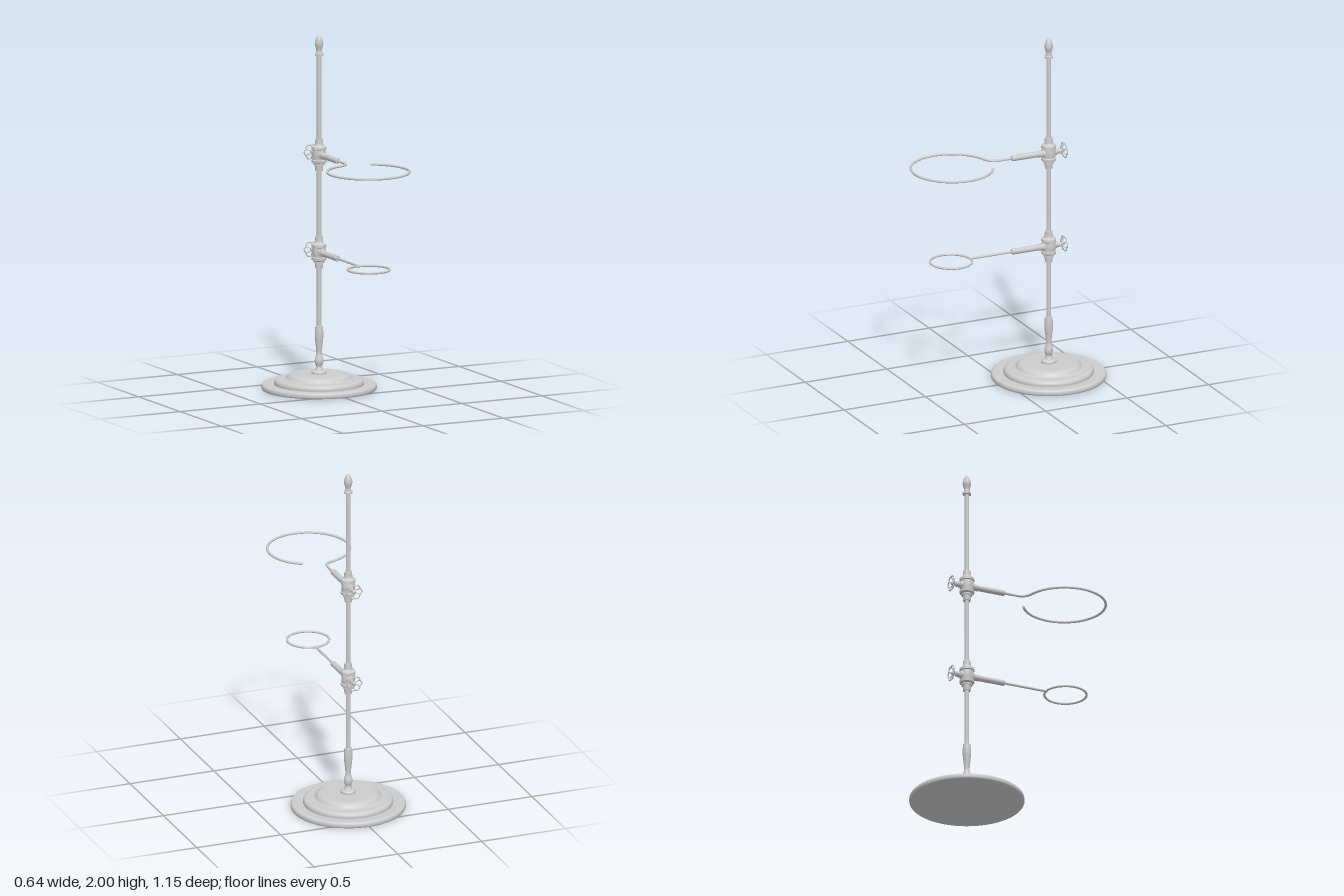
import * as THREE from 'three';

const POLE_Z = -0.257;
const material = new THREE.MeshStandardMaterial({ color: 0xcccccc, side: THREE.DoubleSide });

function addMesh(parent, name, geometry) {
  const mesh = new THREE.Mesh(geometry, material);
  mesh.name = name;
  parent.add(mesh);
  return mesh;
}

// Lathe made of separate runs, so that the edges between runs stay sharp
function turned(parent, name, runs, segments = 32) {
  const group = new THREE.Group();
  group.name = name;
  parent.add(group);
  for (const run of runs) {
    const pts = run.map(([r, y]) => new THREE.Vector2(r, y));
    addMesh(group, name + 'Section', new THREE.LatheGeometry(pts, segments));
  }
  return group;
}

// Straight runs between successive points, each with crisp edges
const crisp = (pts) => pts.slice(1).map((p, i) => [pts[i], p]);

// Smooth turned profile through a few points
function smooth(pts, n = 20) {
  const curve = new THREE.CatmullRomCurve3(pts.map(([r, y]) => new THREE.Vector3(r, y, 0)));
  return curve.getPoints(n).map((p) => [Math.max(p.x, 0), p.y]);
}

// Scalloped handwheel facing -z, with its centre at the origin
function handwheel() {
  const wheel = new THREE.Group();
  wheel.name = 'handwheel';
  const lobes = 6;
  const rimPoints = [];
  for (let i = 0; i < 72; i++) {
    const a = (i / 72) * Math.PI * 2;
    const r = 0.036 + 0.007 * Math.abs(Math.cos((a * lobes) / 2));
    rimPoints.push(new THREE.Vector3(r * Math.cos(a), r * Math.sin(a), 0));
  }
  addMesh(wheel, 'wheelRim', new THREE.TubeGeometry(new THREE.CatmullRomCurve3(rimPoints, true), 96, 0.004, 8, true));
  for (let i = 0; i < lobes; i++) {
    const a = ((i + 0.5) / lobes) * Math.PI * 2;
    const at = (r, z) => new THREE.Vector3(r * Math.cos(a), r * Math.sin(a), z);
    const path = new THREE.CatmullRomCurve3([at(0.004, 0.012), at(0.02, 0.011), at(0.036, 0)]);
    addMesh(wheel, 'wheelSpoke', new THREE.TubeGeometry(path, 8, 0.003, 6));
  }
  const hub = addMesh(wheel, 'wheelHub', new THREE.SphereGeometry(0.011, 16, 12));
  hub.position.z = 0.008;
  return wheel;
}

// Sliding collar with a socket in front and a screw behind
function clamp(name, y) {
  const group = new THREE.Group();
  group.name = name;
  group.position.set(0, y, POLE_Z);
  turned(group, 'collar', [
    ...crisp([[0.013, -0.092], [0.021, -0.092], [0.023, -0.06], [0.03, -0.06], [0.03, -0.05]]),
    ...crisp([[0.03, -0.05], [0.041, -0.044], [0.042, -0.03], [0.036, -0.027]]),
    smooth([[0.036, -0.027], [0.038, 0], [0.036, 0.027]], 8),
    ...crisp([[0.036, 0.027], [0.042, 0.03], [0.041, 0.044], [0.03, 0.05]]),
    smooth([[0.03, 0.05], [0.025, 0.054], [0.023, 0.062]], 6),
    ...crisp([[0.023, 0.062], [0.021, 0.09], [0.013, 0.09]]),
  ]);
  // Lathe height runs along +z for the socket and -z for the screw
  const socket = turned(group, 'armSocket', crisp([
    [0, 0.025], [0.025, 0.025], [0.022, 0.042], [0.019, 0.042], [0.019, 0.065], [0.0165, 0.068],
    [0.0165, 0.222], [0.014, 0.228], [0, 0.228],
  ]), 20);
  socket.rotation.x = Math.PI / 2;
  const screw = turned(group, 'screw', crisp([
    [0, 0.025], [0.024, 0.025], [0.02, 0.046], [0.015, 0.046], [0.015, 0.068], [0.009, 0.07],
    [0.009, 0.09], [0, 0.094],
  ]), 20);
  screw.rotation.x = -Math.PI / 2;
  const wheel = handwheel();
  wheel.position.z = -0.095;
  group.add(wheel);
  return group;
}

export function createModel() {
  const model = new THREE.Group();
  model.name = 'ringStand';

  // Stepped round foot
  const base = turned(model, 'base', [
    [[0, 0.003], [0.316, 0.003]],
    smooth([[0.316, 0.003], [0.32, 0.009], [0.32, 0.024], [0.314, 0.033], [0.3, 0.036]], 14),
    smooth([[0.3, 0.036], [0.27, 0.034], [0.25, 0.032]], 6),
    smooth([[0.25, 0.032], [0.25, 0.044], [0.243, 0.057], [0.226, 0.063]], 12),
    smooth([[0.226, 0.063], [0.205, 0.062], [0.185, 0.066], [0.174, 0.079], [0.16, 0.088], [0.14, 0.09]], 20),
    [[0.14, 0.09], [0, 0.09]],
  ], 64);
  base.position.z = POLE_Z;

  // Turned column foot, plain pole and finial
  const column = turned(model, 'column', [
    smooth([[0.042, 0.088], [0.042, 0.1], [0.034, 0.108], [0.024, 0.11]], 10),
    smooth([[0.024, 0.11], [0.017, 0.13], [0.023, 0.15], [0.024, 0.168], [0.016, 0.2], [0.017, 0.23],
      [0.023, 0.285], [0.024, 0.315], [0.021, 0.355]], 36),
    ...crisp([[0.021, 0.355], [0.013, 0.357], [0.013, 1.885]]),
  ]);
  column.position.z = POLE_Z;
  const finial = turned(model, 'finial', [
    ...crisp([[0.013, 1.882], [0.024, 1.884], [0.024, 1.895], [0.018, 1.898]]),
    smooth([[0.018, 1.898], [0.016, 1.915], [0.023, 1.945], [0.022, 1.963], [0.012, 1.99], [0, 2]], 24),
  ]);
  finial.position.z = POLE_Z;

  model.add(clamp('lowerClamp', 0.775), clamp('upperClamp', 1.325));

  // Lower arm: straight rod with a closed ring
  const rod = addMesh(model, 'lowerRod', new THREE.CylinderGeometry(0.007, 0.007, 0.27, 12));
  rod.rotation.x = Math.PI / 2;
  rod.position.set(0, 0.775, 0.093);
  const ring = addMesh(model, 'lowerRing', new THREE.TorusGeometry(0.117, 0.0065, 10, 64));
  ring.rotation.x = Math.PI / 2;
  ring.position.set(0, 0.775, 0.343);

  // Upper arm: one rod bent into an open ring
  const pts = [[0, -0.04], [0, 0.02], [-0.001, 0.06], [-0.01, 0.085], [-0.036, 0.107]];
  const start = -Math.PI / 2 - 0.36, sweep = -(Math.PI * 2 - 0.36 - 0.53);
  for (let i = 0; i <= 36; i++) {
    const a = start + (sweep * i) / 36;
    pts.push([0.229 * Math.cos(a), 0.337 + 0.229 * Math.sin(a)]);
  }
  const path = new THREE.CatmullRomCurve3(pts.map(([x, z]) => new THREE.Vector3(x, 1.325, z)));
  addMesh(model, 'upperOpenRing', new THREE.TubeGeometry(path, 140, 0.007, 10));
  const [endX, endZ] = pts[pts.length - 1];
  const cap = addMesh(model, 'upperRingEnd', new THREE.CircleGeometry(0.007, 10));
  cap.position.set(endX, 1.325, endZ);
  const t = path.getTangent(1);
  cap.rotation.y = Math.atan2(t.x, t.z);

  return model;
}
